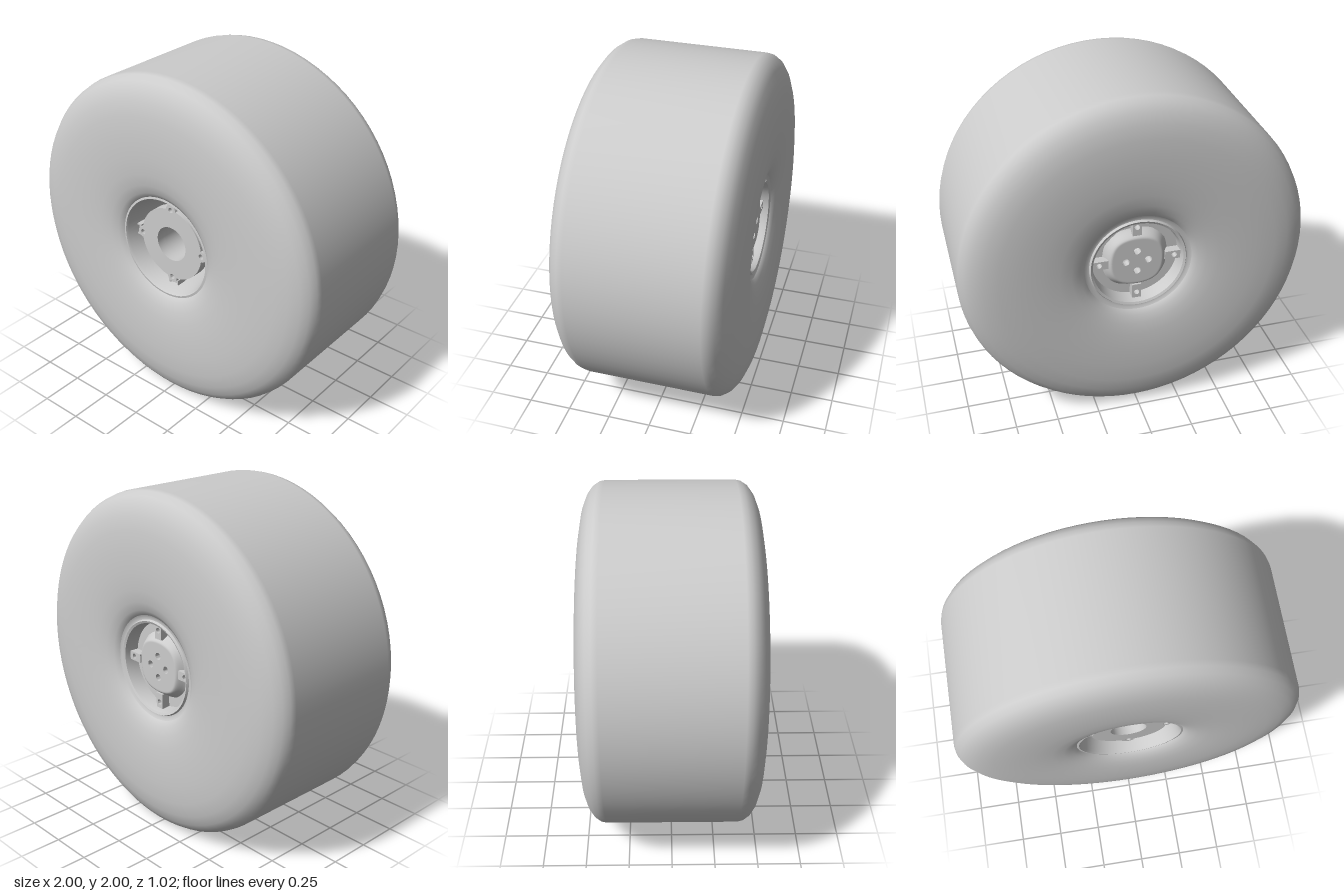
import * as THREE from 'three';
import { toCreasedNormals } from 'three/addons/utils/BufferGeometryUtils.js';

const material = new THREE.MeshStandardMaterial({ color: 0xcccccc, side: THREE.DoubleSide });
const LUG_RADIUS = 0.218, LUG_HOLE = 0.016;

export function createModel() {
  const model = new THREE.Group();
  const wheel = new THREE.Group();
  wheel.name = 'wheel';
  wheel.position.y = 1;
  model.add(wheel);

  const add = (name, geometry, z = 0, parent = wheel) => {
    const mesh = new THREE.Mesh(geometry, material);
    mesh.name = name;
    mesh.position.z = z;
    parent.add(mesh);
    return mesh;
  };
  // Profiles are [radius, z] pairs spun around the axle
  const spin = (points, segments = 64) =>
    new THREE.LatheGeometry(points.map(([r, z]) => new THREE.Vector2(r, z)), segments).rotateX(Math.PI / 2);
  const creased = (geometry) => toCreasedNormals(geometry, 0.6);
  const circlePath = (x, y, r) => new THREE.Path().absarc(x, y, r, 0, Math.PI * 2, true);
  const punchFour = (shape, distance, r) => {
    for (let i = 0; i < 4; i++) {
      const a = i * Math.PI / 2;
      shape.holes.push(circlePath(Math.cos(a) * distance, Math.sin(a) * distance, r));
    }
  };
  const extrude = (shape, depth) =>
    creased(new THREE.ExtrudeGeometry(shape, { depth, bevelEnabled: false, curveSegments: 24 }));

  // Fat tyre with a flat tread and soft shoulders
  const half = [[1, 0.37], [0.993, 0.403], [0.97, 0.437], [0.93, 0.466], [0.87, 0.489], [0.79, 0.503],
    [0.68, 0.51], [0.56, 0.509], [0.46, 0.502], [0.39, 0.491], [0.34, 0.475], [0.31, 0.455], [0.295, 0.43]];
  const back = half.map(([r, z]) => [r, -z]).reverse();
  add('tyre', spin([...back, ...half], 80));

  // Rim lips and the tapering well between them
  add('rimWell', creased(spin([[0.312, 0.455], [0.298, 0.458], [0.29, 0.445], [0.266, 0.3], [0.252, 0.2],
    [0.25, -0.36], [0.256, -0.43], [0.262, -0.452], [0.275, -0.458], [0.282, -0.445], [0.295, -0.445], [0.312, -0.455]])));

  // Front hub flange: a disc merged with four rounded lugs
  const outline = [];
  for (let i = 0; i < 240; i++) {
    const a = i / 240 * Math.PI * 2;
    const off = a - Math.round(a / (Math.PI / 2)) * Math.PI / 2;
    const inside = 0.034 ** 2 - (LUG_RADIUS * Math.sin(off)) ** 2;
    const lug = inside > 0 ? LUG_RADIUS * Math.cos(off) + Math.sqrt(inside) : 0;
    const r = Math.max(0.22, lug);
    outline.push(new THREE.Vector2(Math.cos(a) * r, Math.sin(a) * r));
  }
  const flange = new THREE.Shape(outline);
  flange.holes.push(circlePath(0, 0, 0.105));
  punchFour(flange, LUG_RADIUS, LUG_HOLE);
  add('hubFlange', extrude(flange, 0.06), 0.34);

  // Hub barrel with its deep central bore
  add('hubBarrel', creased(spin([[0.105, -0.38], [0.19, -0.36], [0.19, 0.34]], 48)));
  add('hubBore', spin([[0.105, 0.4], [0.105, -0.39]], 48));

  // Centre plate closing the bore, with four bolt holes
  const plate = new THREE.Shape().absarc(0, 0, 0.13, 0, Math.PI * 2, false);
  punchFour(plate, 0.065, 0.021);
  add('boltPlate', extrude(plate, 0.04), -0.425);

  // Cushioned back cover, sinking toward its rounded corners
  const cover = new THREE.RingGeometry(0.125, 0.198, 96, 12);
  const p = cover.attributes.position;
  for (let i = 0; i < p.count; i++) {
    const square = Math.pow(Math.abs(p.getX(i)) ** 4 + Math.abs(p.getY(i)) ** 4, 0.25);
    const r = Math.hypot(p.getX(i), p.getY(i));
    const fall = THREE.MathUtils.smoothstep(0.55 * r + 0.45 * square, 0.145, 0.198);
    p.setZ(i, -0.425 + 0.06 * fall);
  }
  cover.index.array.reverse();
  cover.computeVertexNormals();
  add('backCover', cover);

  // Recessed annulus joining cover and rim
  const web = new THREE.Shape().absarc(0, 0, 0.254, 0, Math.PI * 2, false);
  web.holes.push(circlePath(0, 0, 0.188));
  punchFour(web, LUG_RADIUS, LUG_HOLE);
  add('backWeb', extrude(web, 0.02), -0.37);

  // Four fixing tabs at the back and clips on the well wall at the front
  for (let i = 0; i < 4; i++) {
    const fixing = new THREE.Group();
    fixing.name = 'fixing' + (i + 1);
    fixing.rotation.z = i * Math.PI / 2;
    wheel.add(fixing);

    const tab = new THREE.Shape();
    tab.moveTo(0.165, -0.026).lineTo(0.254, -0.026).lineTo(0.254, 0.026).lineTo(0.165, 0.026).closePath();
    tab.holes.push(circlePath(LUG_RADIUS, 0, LUG_HOLE));
    add('backTab', extrude(tab, 0.055), -0.42, fixing);

    for (const side of [-1, 1]) {
      const clip = add('clipCheek', new THREE.BoxGeometry(0.03, 0.01, 0.1), 0.34, fixing);
      clip.position.set(0.255, side * 0.03, 0.34);
    }
    const pad = add('clipPad', new THREE.BoxGeometry(0.016, 0.06, 0.1), 0.33, fixing);
    pad.position.x = 0.259;
  }
  return model;
}
